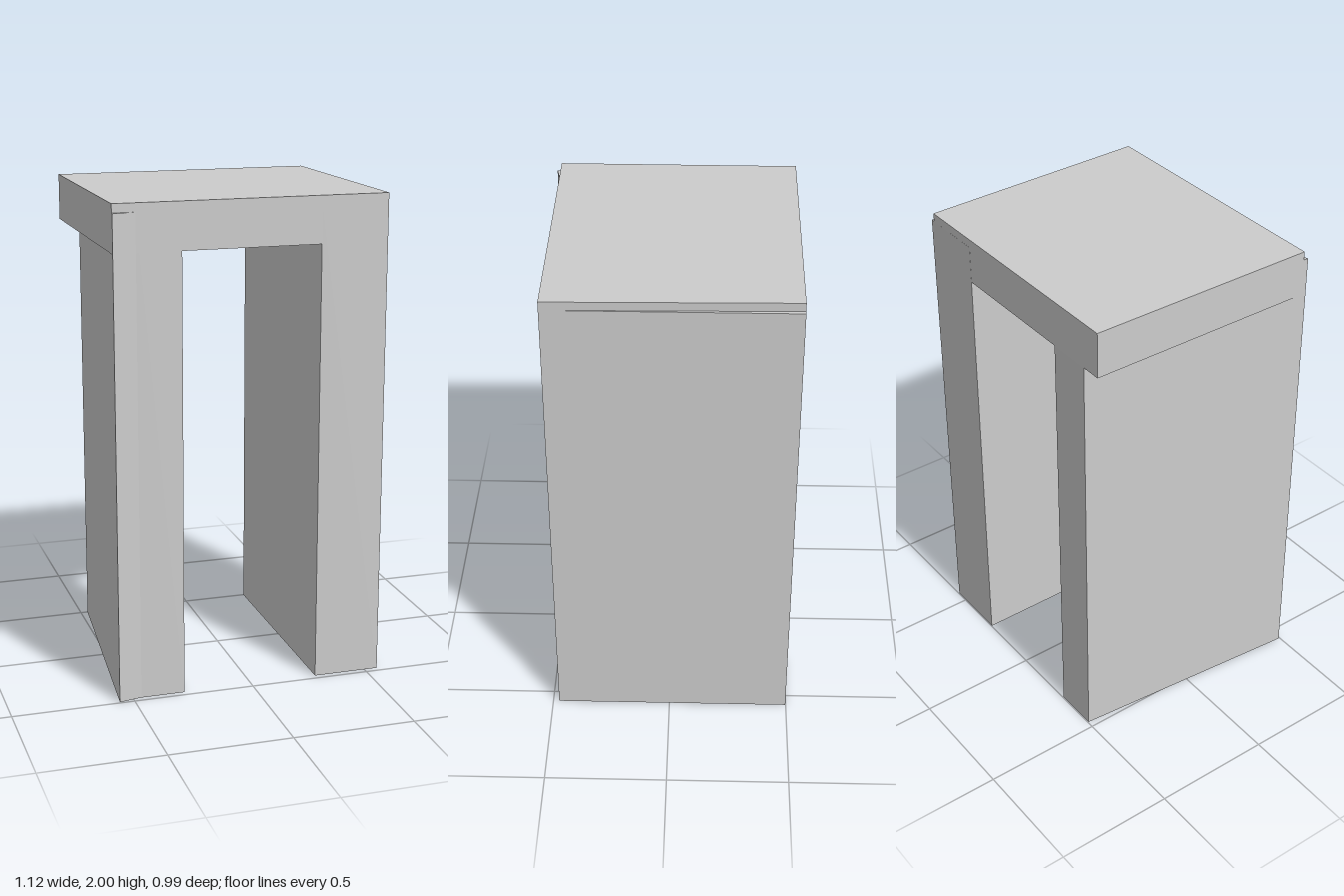
import * as THREE from 'three';

const material = new THREE.MeshStandardMaterial({ color: 0xcccccc, flatShading: true });

// Upright prism over a floor plan of [x, z] corners
function prism(name, plan, bottom, top) {
  const shape = new THREE.Shape(plan.map(([x, z]) => new THREE.Vector2(x, -z)));
  const geometry = new THREE.ExtrudeGeometry(shape, { depth: top - bottom, bevelEnabled: false });
  geometry.rotateX(-Math.PI / 2).translate(0, bottom, 0);
  const mesh = new THREE.Mesh(geometry, material);
  mesh.name = name;
  return mesh;
}

export function createModel() {
  const group = new THREE.Group();
  group.name = 'arch';

  // Top slab, slightly out of square
  group.add(prism('lintel', [
    [-0.558, 0.475], [0.556, 0.475], [0.54, -0.498], [-0.555, -0.496],
  ], 1.81, 2));

  // Straight wall, standing a little proud of the slab towards the back
  group.add(prism('leftWall', [
    [0.28, 0.475], [0.556, 0.475], [0.556, -0.498], [0.28, -0.498],
  ], 0, 1.965));

  // Skewed wall, narrower at the back and with a pointed front corner
  group.add(prism('rightWall', [
    [-0.56, 0.494], [-0.466, 0.475], [-0.285, 0.475], [-0.285, -0.496], [-0.47, -0.496],
  ], 0, 1.965));

  return group;
}
